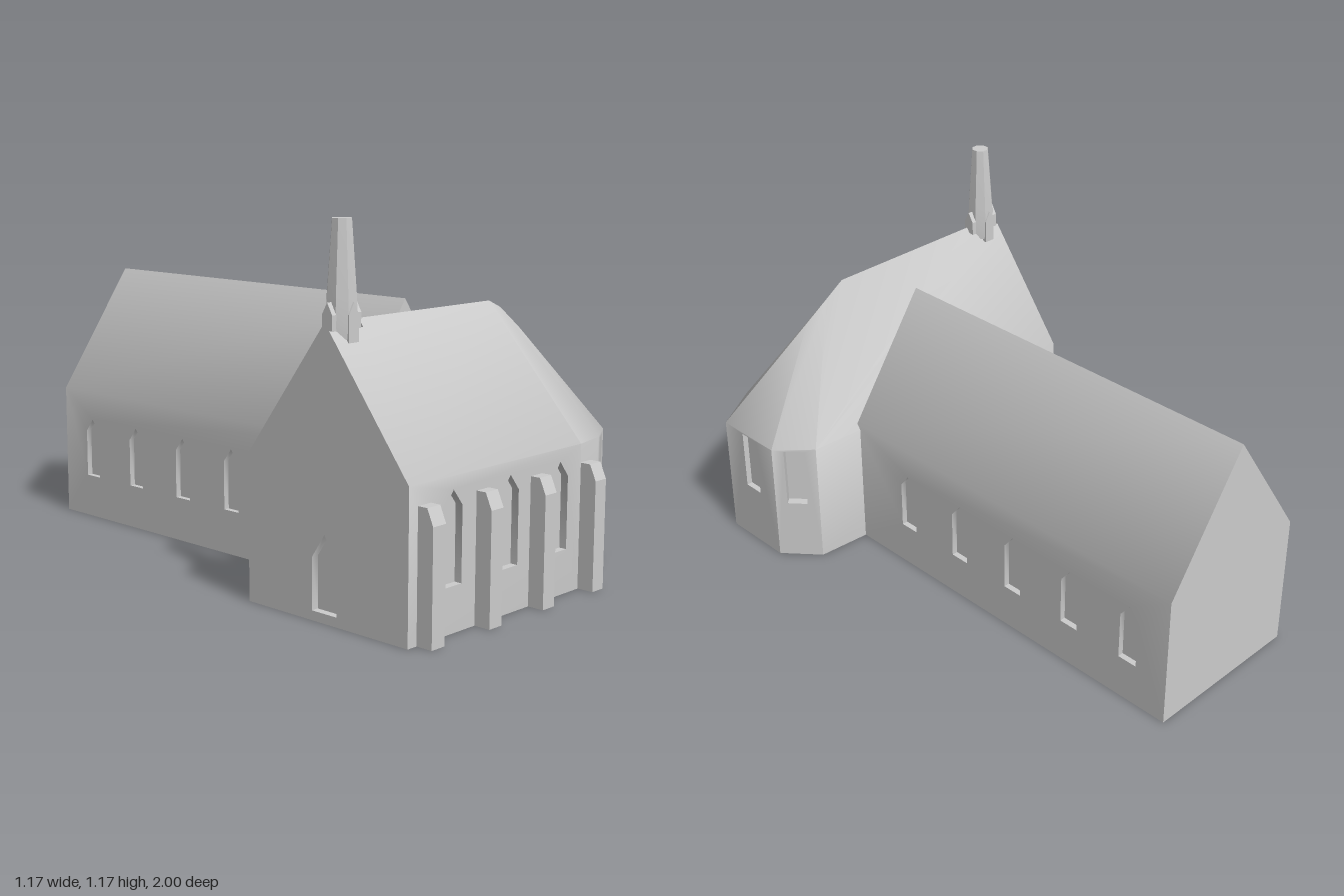
import * as THREE from 'three';
import { toCreasedNormals } from 'three/addons/utils/BufferGeometryUtils.js';

const V = (x, y, z) => new THREE.Vector3(x, y, z);
const CREASE = 0.69;

// Flat polygon (corners counter-clockwise from outside); holes become recessed niches.
// Hole coordinates: distance along the first edge, height above it.
function face(out, pts, holes = [], depth = 0.025) {
  const n = V(0, 0, 0);
  for (let i = 1; i < pts.length - 1; i++) {
    n.add(pts[i].clone().sub(pts[0]).cross(pts[i + 1].clone().sub(pts[0])));
  }
  n.normalize();
  const u = pts[1].clone().sub(pts[0]);
  u.addScaledVector(n, -u.dot(n)).normalize();
  const v = n.clone().cross(u);
  const flat = pts.map(p => {
    const d = p.clone().sub(pts[0]);
    return new THREE.Vector2(d.dot(u), d.dot(v));
  });
  const holes2 = holes.map(h => h.map(([s, t]) => new THREE.Vector2(s, t)).reverse());
  const lift = ([s, t], k = 0) => pts[0].clone().addScaledVector(u, s).addScaledVector(v, t).addScaledVector(n, -k);
  const all = [...pts, ...holes2.flat().map(p => lift([p.x, p.y]))];
  for (const tri of THREE.ShapeUtils.triangulateShape(flat, holes2)) {
    tri.forEach(i => out.push(...all[i].toArray()));
  }
  for (const h of holes) {
    face(out, h.map(p => lift(p, depth)));
    h.forEach((p, i) => {
      const q = h[(i + 1) % h.length];
      face(out, [lift(p), lift(q), lift(q, depth), lift(p, depth)]);
    });
  }
}

const arch = (c, w, y0, y1, top) =>
  [[c - w / 2, y0], [c + w / 2, y0], [c + w / 2, y1], [c, top], [c - w / 2, y1]];
const slot = (c, w, y0, y1) =>
  [[c - w / 2, y0], [c + w / 2, y0], [c + w / 2, y1], [c - w / 2, y1]];
const ground = p => V(p.x, 0, p.z);
const wall = (out, a, b, holes, depth) => face(out, [ground(a), ground(b), b, a], holes, depth);

export function createModel() {
  const group = new THREE.Group();
  const stone = new THREE.MeshStandardMaterial({ color: 0xcccccc });
  stone.name = 'pale grey';
  const add = (name, geo, crease = CREASE) => {
    const mesh = new THREE.Mesh(toCreasedNormals(geo, crease), stone);
    mesh.name = name;
    group.add(mesh);
    return mesh;
  };
  const addFaces = (name, out) => {
    const geo = new THREE.BufferGeometry();
    geo.setAttribute('position', new THREE.Float32BufferAttribute(out, 3));
    add(name, geo);
  };

  // Chapel with a many-sided apse at its left end
  const F = [V(-0.59, 0.46, 0.945), V(0.21, 0.46, 0.945), V(0.42, 0.44, 0.865),
    V(0.585, 0.43, 0.77), V(0.585, 0.43, 0.515), V(0.485, 0.44, 0.40)];
  const B = V(-0.59, 0.46, 0.31), apex = V(-0.59, 0.88, 0.625);
  const R = [V(-0.45, 0.88, 0.625), V(0.15, 0.88, 0.625), V(0.24, 0.85, 0.60), V(0.32, 0.78, 0.615)];
  const N0 = V(-0.59, 0.855, 0.644), N1 = V(-0.45, 0.855, 0.644);
  const M0 = V(-0.59, 0.855, 0.606), M1 = V(-0.45, 0.855, 0.606);
  const chapel = [];
  // walls
  wall(chapel, F[0], F[1], [-0.4, -0.14, 0.105].map(x => arch(x + 0.59, 0.08, 0.14, 0.37, 0.42)));
  wall(chapel, F[1], F[2]);
  wall(chapel, F[2], F[3], [slot(0.095, 0.075, 0.215, 0.425)], 0.03);
  wall(chapel, F[3], F[4], [slot(0.1325, 0.075, 0.215, 0.425)], 0.02);
  wall(chapel, F[4], F[5], [slot(0.076, 0.07, 0.215, 0.425)], 0.03);
  wall(chapel, F[5], B);
  face(chapel, [ground(B), ground(F[0]), F[0], apex, B], [arch(0.315, 0.1, 0.03, 0.19, 0.265)]);
  face(chapel, [...F, B].map(ground).reverse());
  // roof, with a small cut in the ridge under the turret
  face(chapel, [F[0], F[1], R[1], R[0], N1, N0]);
  face(chapel, [F[5], B, M0, M1, R[0], R[1]]);
  face(chapel, [N0, N1, M1, M0]);
  face(chapel, [M1, N1, R[0]]);
  face(chapel, [N0, M0, apex]);
  for (const t of [[F[1], R[2], R[1]], [F[1], F[2], R[2]], [F[2], R[3], R[2]], [F[2], F[3], R[3]],
    [F[3], F[4], R[3]], [F[4], R[2], R[3]], [F[4], F[5], R[2]], [F[5], R[1], R[2]]]) face(chapel, t);
  addFaces('chapel', chapel);

  // Long wing behind
  const L = -0.28, W = 0.30, z0 = -1, z1 = 0.4;
  const fl = V(L, 0.46, z1), fr = V(W, 0.46, z1), bl = V(L, 0.46, z0), br = V(W, 0.46, z0);
  const fa = V(0.01, 0.88, z1), ba = V(0.01, 0.88, z0);
  const zs = [0.145, -0.105, -0.35, -0.6, -0.845];
  const windows = f => zs.map(z => arch(f(z), 0.07, 0.15, 0.315, 0.36));
  const wing = [];
  wall(wing, fr, br, windows(z => z1 - z), 0.02);
  wall(wing, bl, fl, windows(z => z - z0), 0.02);
  face(wing, [ground(br), ground(bl), bl, ba, br]);
  face(wing, [ground(fl), ground(fr), fr, fa, fl]);
  face(wing, [fr, br, ba, fa]);
  face(wing, [bl, fl, fa, ba]);
  face(wing, [ground(fl), ground(bl), ground(br), ground(fr)]);
  addFaces('wing', wing);

  // Buttresses: side outline pushed across the width
  const side = new THREE.Shape([[0.94, 0], [1, 0], [1, 0.35], [0.978, 0.4], [0.94, 0.4]]
    .map(p => new THREE.Vector2(...p)));
  for (const x of [-0.525, -0.27, -0.015, 0.24]) {
    const geo = new THREE.ExtrudeGeometry(side, { depth: 0.055, bevelEnabled: false });
    geo.rotateY(-Math.PI / 2).translate(x + 0.0275, 0, 0);
    add('buttress', geo, 0.1);
  }

  // Eight-sided ridge turret
  const profile = [[0, 0.83], [0.047, 0.83], [0.049, 0.87], [0.046, 0.95], [0.031, 1.16], [0.03, 1.17], [0, 1.17]];
  const turret = new THREE.LatheGeometry(profile.map(p => new THREE.Vector2(...p)), 8, Math.PI / 8);
  add('turret', turret, 0.3).position.set(-0.52, 0, 0.625);

  // Pointed gablets round the turret foot
  const gablet = new THREE.Shape([[-0.02, 0.82], [0.02, 0.82], [0.02, 0.9], [0, 0.935], [-0.02, 0.9]]
    .map(p => new THREE.Vector2(...p)));
  for (let i = 0; i < 4; i++) {
    const reach = i % 2 ? 0.06 : 0.048;
    const geo = new THREE.ExtrudeGeometry(gablet, { depth: reach, bevelEnabled: false });
    const mesh = add('turretGablet', geo.rotateY(i * Math.PI / 2), 0.1);
    mesh.position.set(-0.52, 0, 0.625);
  }
  return group;
}
